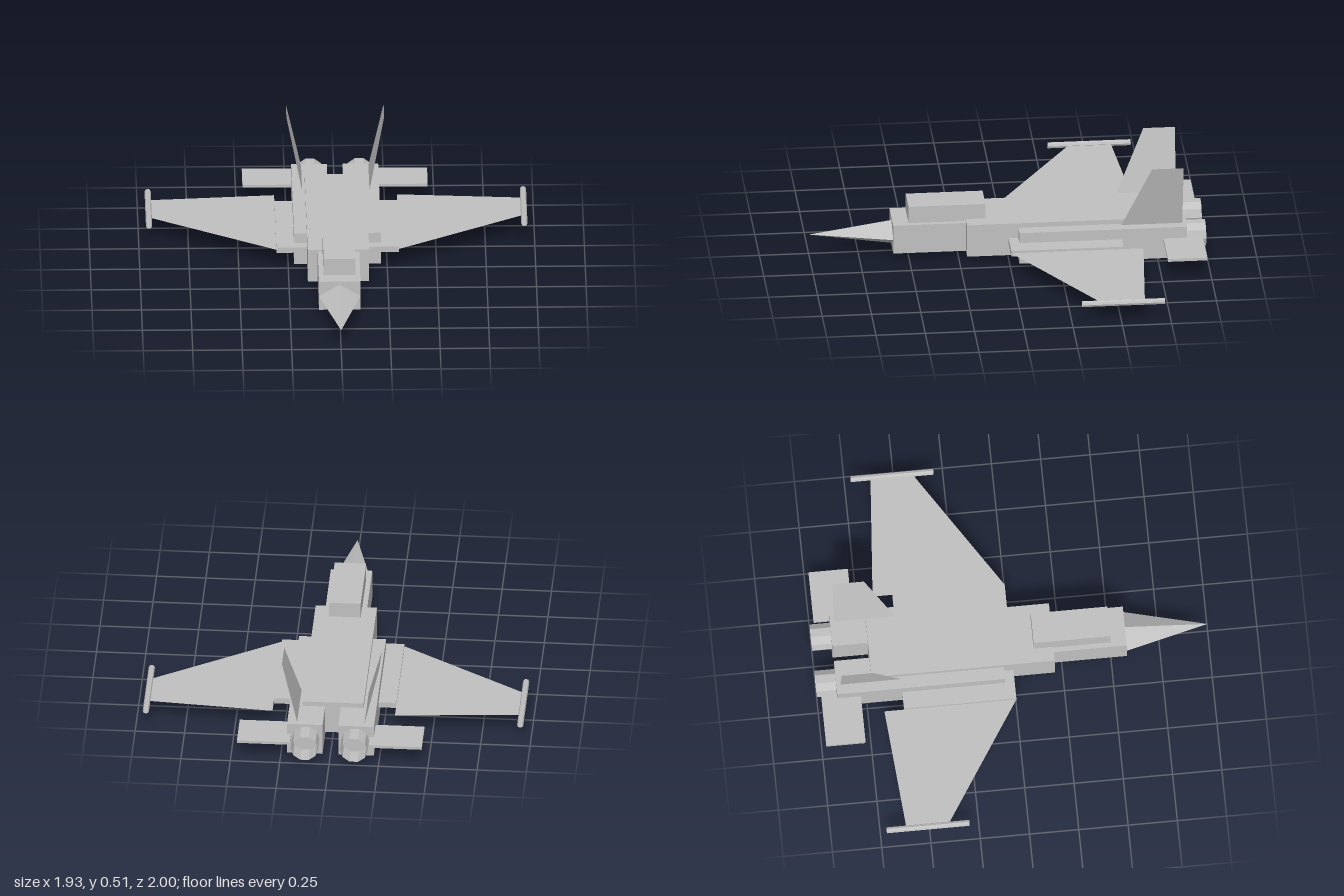
import * as THREE from 'three';

export function createModel() {
  const model = new THREE.Group();
  model.name = 'jetAircraft';

  const grey = new THREE.MeshStandardMaterial({ color: 0xc0c0c0, flatShading: true, side: THREE.DoubleSide });
  grey.name = 'light grey';

  const add = (name, geometry) => {
    const mesh = new THREE.Mesh(geometry, grey);
    mesh.name = name;
    model.add(mesh);
    return mesh;
  };

  // Box given by its limits on each axis
  const box = (name, [x0, x1], [y0, y1], [z0, z1]) =>
    add(name, new THREE.BoxGeometry(x1 - x0, y1 - y0, z1 - z0))
      .position.set((x0 + x1) / 2, (y0 + y1) / 2, (z0 + z1) / 2);

  // Zero-thickness four-cornered panel
  const panel = (name, corners) => {
    const geometry = new THREE.BufferGeometry();
    geometry.setAttribute('position', new THREE.Float32BufferAttribute(corners.flat(), 3));
    geometry.setIndex([0, 1, 2, 0, 2, 3]);
    geometry.computeVertexNormals();
    add(name, geometry);
  };

  // Open tube lying along z
  const tube = (name, radius, length, sides, x, y, z) => {
    const geometry = new THREE.CylinderGeometry(radius, radius, length, sides, 1, true);
    geometry.rotateY(Math.PI / 2).rotateX(Math.PI / 2);
    add(name, geometry).position.set(x, y, z);
  };

  // Fuselage and canopy
  box('mainFuselage', [-0.155, 0.155], [0.02, 0.195], [-0.72, 0.21]);
  box('forwardFuselage', [-0.105, 0.105], [0.03, 0.185], [0.2, 0.58]);
  box('canopy', [-0.08, 0.08], [0.18, 0.275], [0.11, 0.5]);

  // Four-sided pointed nose
  const nose = new THREE.ConeGeometry(0.105, 0.42, 4);
  nose.rotateX(Math.PI / 2).scale(1, 0.61, 1);
  add('noseCone', nose).position.set(0, 0.105, 0.79);

  for (const s of [1, -1]) {
    const side = s > 0 ? 'left' : 'right';
    const span = (a, b) => (s > 0 ? [a, b] : [-b, -a]);
    const mirror = (corners) => {
      const points = corners.map(([x, y, z]) => [s * x, y, z]);
      return s > 0 ? points : points.reverse();
    };

    // Engine block and nozzle
    box(side + 'Engine', span(0.04, 0.22), [0, 0.17], [-0.9, -0.05]);
    tube(side + 'Nozzle', 0.07, 0.1, 10, s * 0.125, 0.088, -0.95);

    // Wing root, wing and tip rail
    box(side + 'WingRoot', span(0.15, 0.31), [0.085, 0.115], [-0.57, 0]);
    panel(side + 'Wing', mirror([
      [0.31, 0.102, 0], [0.935, 0.102, -0.4], [0.935, 0.102, -0.62], [0.31, 0.102, -0.67],
    ]));
    tube(side + 'WingTipRail', 0.016, 0.42, 8, s * 0.948, 0.104, -0.51);

    // Tailplane and outward-leaning fin
    box(side + 'Tailplane', span(0.2, 0.468), [0.095, 0.11], [-0.98, -0.78]);
    panel(side + 'Fin', mirror([
      [0.17, 0.17, -0.57], [0.17, 0.17, -0.88], [0.247, 0.51, -0.88], [0.247, 0.51, -0.72],
    ]));
  }

  return model;
}
